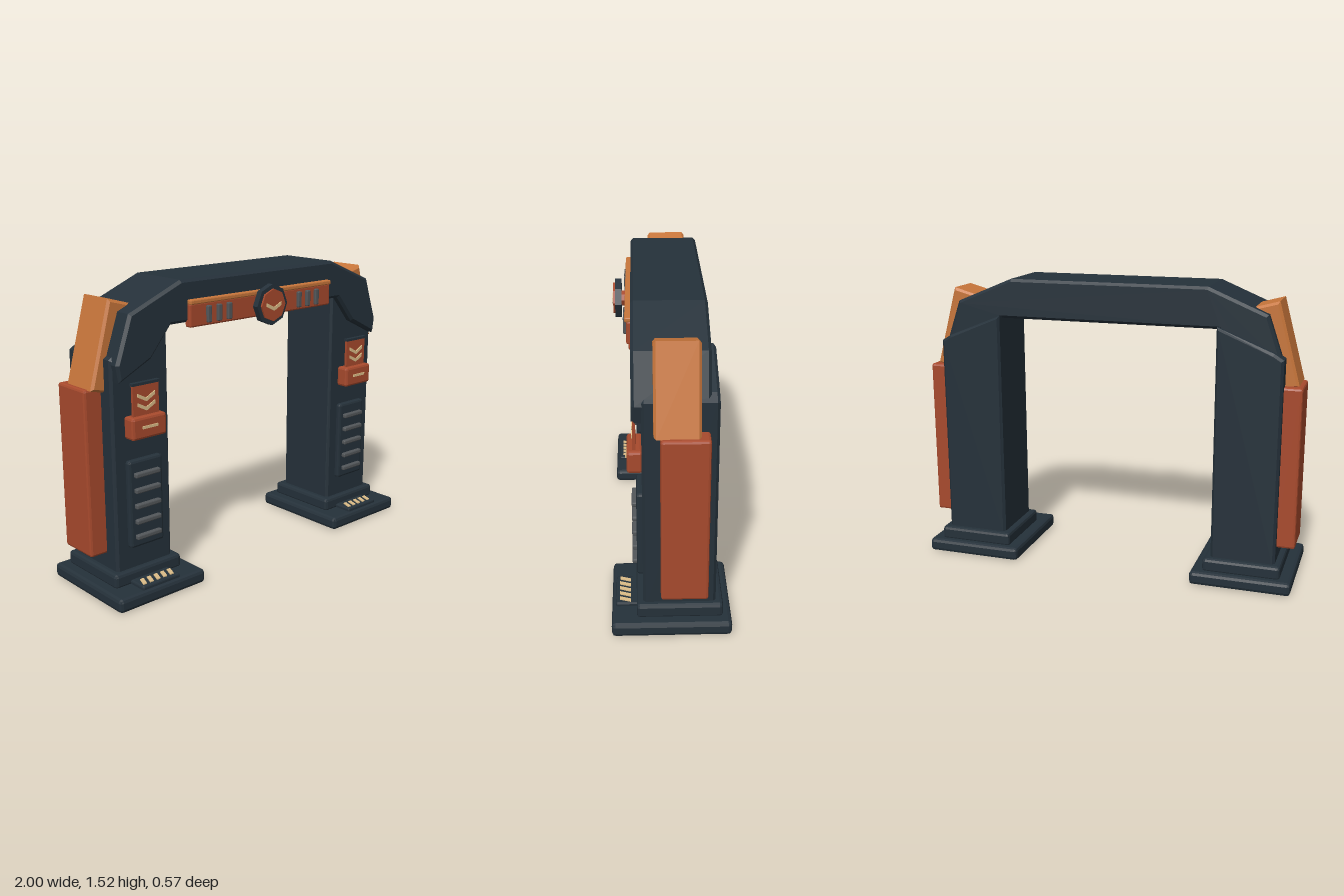
import * as THREE from 'three';
import { RoundedBoxGeometry } from 'three/addons/geometries/RoundedBoxGeometry.js';

const material = (name, color) => {
  const m = new THREE.MeshStandardMaterial({ color });
  m.name = name;
  return m;
};

export function createModel() {
  const dark = material('dark slate', 0x25313a);
  const red = material('rust red', 0xa84a2d);
  const orange = material('copper orange', 0xc8763b);
  const cream = material('cream', 0xdcbd88);
  const grey = material('slat grey', 0x53575a);

  const add = (parent, name, geometry, mat) => {
    const mesh = new THREE.Mesh(geometry, mat);
    mesh.name = name;
    parent.add(mesh);
    return mesh;
  };

  // Box given by its limits, with chamfered edges when bevel > 0
  const box = (parent, name, mat, [x0, x1], [y0, y1], [z0, z1], bevel = 0) => {
    const w = x1 - x0, h = y1 - y0, d = z1 - z0;
    const g = bevel ? new RoundedBoxGeometry(w, h, d, 1, bevel) : new THREE.BoxGeometry(w, h, d);
    if (bevel) g.computeVertexNormals();
    const mesh = add(parent, name, g, mat);
    mesh.position.set((x0 + x1) / 2, (y0 + y1) / 2, (z0 + z1) / 2);
    return mesh;
  };

  // Front outline extruded between two depths, with chamfered edges
  const slab = (parent, name, mat, points, z0, z1, bevel = 0) => {
    const shape = new THREE.Shape(points.map(([x, y]) => new THREE.Vector2(x, y)));
    const g = new THREE.ExtrudeGeometry(shape, {
      depth: z1 - z0 - 2 * bevel, bevelEnabled: bevel > 0, bevelSize: bevel,
      bevelThickness: bevel, bevelOffset: -bevel, bevelSegments: 1,
    });
    g.translate(0, 0, z0 + bevel);
    return add(parent, name, g, mat);
  };

  // Downward chevron centred on x, with its point at y
  const chevron = (parent, x, y, half, rise, thick, z) => slab(parent, 'chevron', cream, [
    [x, y], [x + half, y + rise], [x + half, y + rise + thick],
    [x, y + thick], [x - half, y + rise + thick], [x - half, y + rise],
  ], z, z + 0.006);

  const gate = new THREE.Group();
  gate.name = 'archway';

  // Overhead beam with drooping shoulders
  const half = [[0.52, 1.52], [0.82, 1.395], [0.9, 1.165], [0.885, 1.08], [0.7, 1.17], [0.58, 1.315]];
  const mirrored = half.map(([x, y]) => [-x, y]).reverse();
  slab(gate, 'beam', dark, [...half, ...mirrored].reverse(), -0.175, 0.18, 0.014);

  for (const side of [-1, 1]) {
    const leg = new THREE.Group();
    leg.name = side > 0 ? 'leftPillar' : 'rightPillar';
    gate.add(leg);
    const span = (a, b) => (side > 0 ? [a, b] : [-b, -a]);
    const cx = side * 0.74;

    // Stepped foot and pillar with a sloped top
    box(leg, 'footPlate', dark, span(0.48, 1), [0, 0.07], [-0.287, 0.287], 0.018);
    box(leg, 'footStep', dark, span(0.54, 0.94), [0.06, 0.135], [-0.247, 0.167], 0.016);
    const outline = [[0.575, 0.12], [0.908, 0.12], [0.908, 1.185], [0.86, 1.215], [0.575, 1.33]];
    slab(leg, 'pillar', dark, outline.map(([x, y]) => [x * side, y]), -0.212, 0.136, 0.013);

    // Outer armour panels
    box(leg, 'sidePanel', red, span(0.885, 1), [0.21, 1.045], [-0.17, 0.053], 0.012);
    const shoulder = [[0.978, 1.042], [0.865, 1.458], [0.737, 1.423], [0.85, 1.01]];
    slab(leg, 'shoulderPanel', orange, shoulder.map(([x, y]) => [x * side, y]), -0.128, 0.083, 0.012);

    // Vent with slats
    box(leg, 'ventPanel', dark, [cx - 0.1, cx + 0.1], [0.245, 0.69], [0.12, 0.163], 0.013);
    for (let i = 0; i < 5; i++) {
      const y = 0.302 + i * 0.079;
      box(leg, 'ventSlat', grey, [cx - 0.073, cx + 0.073], [y - 0.012, y + 0.012], [0.155, 0.184], 0.006);
    }

    // Badge: holder box with an upright plate
    box(leg, 'badgeBox', red, [cx - 0.1, cx + 0.1], [0.8, 0.91], [0.13, 0.204], 0.013);
    box(leg, 'badgeBar', cream, [cx - 0.045, cx + 0.045], [0.853, 0.866], [0.203, 0.21]);
    box(leg, 'badgePlate', red, [cx - 0.075, cx + 0.075], [0.895, 1.06], [0.163, 0.177]);
    box(leg, 'badgeRim', dark, [cx - 0.08, cx + 0.08], [1.057, 1.07], [0.158, 0.182]);
    for (const y of [0.93, 0.975]) chevron(leg, cx, y, 0.05, 0.026, 0.018, 0.176);

    // Foot plaque with slanted hazard stripes
    box(leg, 'footPlaque', dark, [cx - 0.113, cx + 0.113], [0.06, 0.089], [0.15, 0.268], 0.008);
    for (let i = 0; i < 5; i++) {
      const x = cx - 0.1 + i * 0.041;
      const stripe = slab(leg, 'footStripe', cream,
        [[x, 0], [x + 0.022, 0], [x + 0.042, 0.055], [x + 0.02, 0.055]], 0, 0.006);
      stripe.rotation.x = -Math.PI / 2;
      stripe.position.set(0, 0.088, 0.25);
    }
  }

  // Sign bar under the beam face
  box(gate, 'signBar', red, [-0.485, 0.485], [1.29, 1.405], [0.16, 0.2], 0.008);
  box(gate, 'signCap', orange, [-0.485, 0.485], [1.4, 1.424], [0.16, 0.208], 0.006);
  for (const side of [-1, 1]) {
    for (const x of [0.243, 0.308, 0.373]) {
      box(gate, 'signRib', grey, [side * x - 0.013, side * x + 0.013], [1.305, 1.388], [0.19, 0.216], 0.005);
    }
  }

  // Central octagonal emblem
  const disc = (name, mat, radius, z0, z1) => {
    const g = new THREE.CylinderGeometry(radius, radius, z1 - z0, 8).toNonIndexed();
    g.computeVertexNormals();
    g.rotateX(Math.PI / 2);
    add(gate, name, g, mat).position.set(0, 1.353, (z0 + z1) / 2);
  };
  disc('emblemHub', red, 0.04, 0.19, 0.232);
  disc('emblemRing', dark, 0.104, 0.226, 0.258);
  disc('emblemFace', red, 0.082, 0.25, 0.268);
  chevron(gate, 0, 1.325, 0.05, 0.024, 0.018, 0.267);

  return gate;
}
